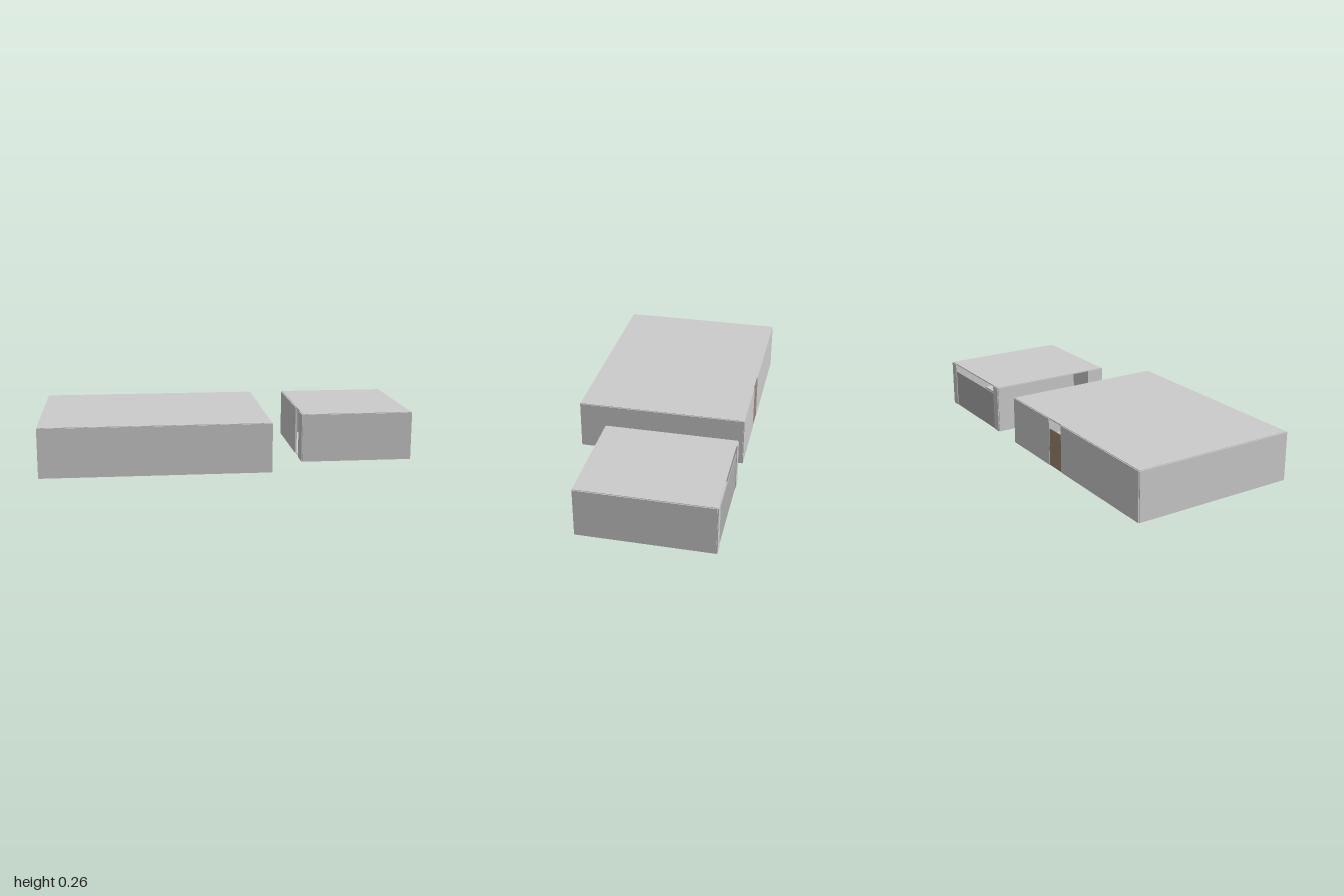
import * as THREE from 'three';

const GREY = 0xcccccc, T = 0.01, WALL_H = 0.259;

function box(parent, name, [x0, x1], [y0, y1], [z0, z1], color = GREY) {
  const mesh = new THREE.Mesh(
    new THREE.BoxGeometry(x1 - x0, y1 - y0, z1 - z0),
    new THREE.MeshStandardMaterial({ color })
  );
  mesh.name = name;
  mesh.position.set((x0 + x1) / 2, (y0 + y1) / 2, (z0 + z1) / 2);
  parent.add(mesh);
  return mesh;
}

// Splits a wall run around an optional full-height opening
function runs([a, b], gap) {
  return gap ? [[a, gap[0]], [gap[1], b]] : [[a, b]];
}

// Hollow building; walls are centred on the outline and stop at its corners
function building(name, x, z, { backGap, rightGap }) {
  const g = new THREE.Group();
  g.name = name;
  const across = c => [c - T / 2, c + T / 2];
  const h = [0, WALL_H];
  for (const r of runs(x, backGap)) box(g, 'backWall', r, h, across(z[0]));
  for (const r of runs(z, rightGap)) box(g, 'rightWall', across(x[0]), h, r);
  box(g, 'frontWall', x, h, across(z[1]));
  box(g, 'leftWall', across(x[1]), h, z);
  box(g, 'floor', x, [0.001, 0.006], z);
  box(g, 'roof', x, [WALL_H - 0.003, WALL_H + 0.003], z);
  return g;
}

export function createModel() {
  const model = new THREE.Group();
  model.name = 'houseAndGarage';

  // House with a narrow back door
  const house = building('house', [-0.995, 0.199], [-0.448, 0.448], { backGap: [-0.304, -0.184] });
  box(house, 'backDoor', [-0.304, -0.184], [0, 0.205], [-0.4505, -0.4455], 0x9d8671);

  // Furniture standing through the thin floor
  const dark = 0x999999;
  box(house, 'sofaSeat', [-0.4, -0.1], [0, 0.045], [-0.09, 0.0], dark);
  box(house, 'sofaBack', [-0.4, -0.1], [0.045, 0.085], [-0.02, 0.0], dark);
  box(house, 'lowTable', [-0.31, -0.19], [0, 0.04], [-0.23, -0.16], dark);
  box(house, 'sideboard', [-0.09, 0.12], [0, 0.08], [0.31, 0.385], dark);
  box(house, 'counter', [-0.97, -0.51], [0, 0.09], [-0.442, -0.385], dark);
  box(house, 'bed', [-0.95, -0.73], [0, 0.05], [0.07, 0.28], 0xb4b4b4);
  const post = new THREE.Mesh(
    new THREE.CylinderGeometry(0.005, 0.005, 0.075, 12),
    new THREE.MeshStandardMaterial({ color: dark })
  );
  post.name = 'tablePost';
  post.position.set(-0.65, 0.0375, -0.26);
  const top = new THREE.Mesh(
    new THREE.CylinderGeometry(0.06, 0.06, 0.005, 24),
    new THREE.MeshStandardMaterial({ color: GREY })
  );
  top.name = 'tableTop';
  top.position.set(-0.65, 0.0775, -0.26);
  house.add(post, top);

  // Garage with a wide back door and an open side doorway
  const garage = building('garage', [0.398, 0.995], [-0.448, 0.249],
    { backGap: [0.448, 0.945], rightGap: [0.05, 0.15] });
  box(garage, 'garageDoor', [0.448, 0.945], [0, 0.213], [-0.4495, -0.4445], 0xacacac);
  box(garage, 'vehicleBody', [0.61, 0.79], [0.02, 0.09], [-0.4, 0.03]);
  box(garage, 'vehicleCabin', [0.64, 0.76], [0.09, 0.15], [-0.35, -0.1]);

  model.add(house, garage);
  return model;
}
